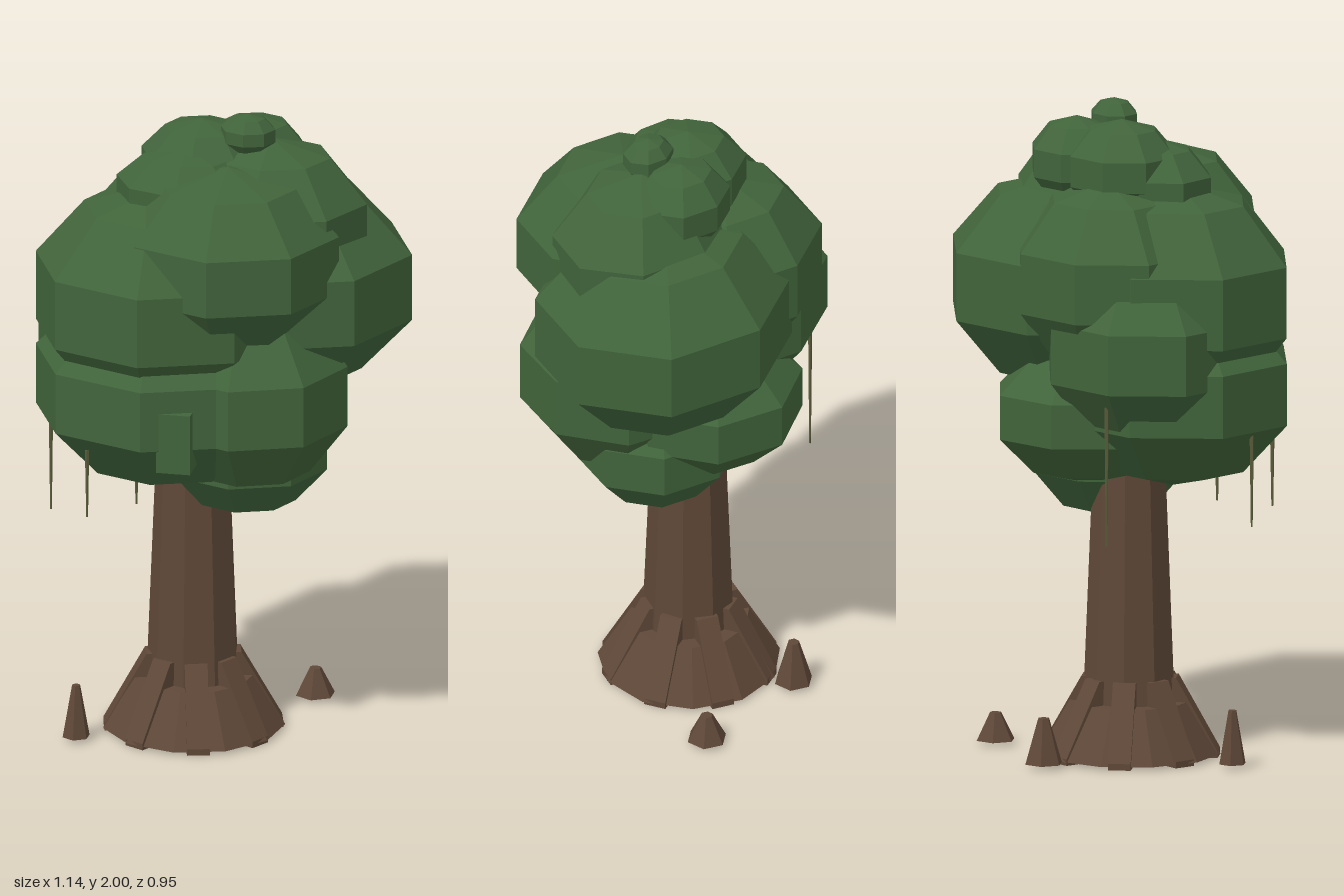
import * as THREE from 'three';

export function createModel() {
  const tree = new THREE.Group();
  tree.name = 'tree';
  const mat = (name, color) => {
    const m = new THREE.MeshStandardMaterial({ color, flatShading: true });
    m.name = name;
    return m;
  };
  const leafGreen = mat('leaf green', 0x41643b);
  const barkBrown = mat('bark brown', 0x5f4838);
  const vineOlive = mat('vine olive', 0x5a5c3a);

  const add = (name, geometry, material, x, y, z, parent = tree) => {
    const mesh = new THREE.Mesh(geometry, material);
    mesh.name = name;
    mesh.position.set(x, y, z);
    parent.add(mesh);
    return mesh;
  };

  // Trunk with its flared foot
  const trunkX = -0.09, trunkZ = -0.005;
  add('trunk', new THREE.CylinderGeometry(0.105, 0.145, 1.0, 9), barkBrown, trunkX, 0.6, trunkZ);
  add('trunkFlare', new THREE.CylinderGeometry(0.185, 0.28, 0.16, 11), barkBrown, trunkX, 0.09, trunkZ);

  // Root ridges: wedges that follow the flare and rise above its rim
  const wedge = new THREE.Shape();
  wedge.moveTo(0.1, 0);
  wedge.lineTo(0.272, 0);
  wedge.lineTo(0.272, 0.02);
  wedge.lineTo(0.145, 0.245);
  wedge.lineTo(0.1, 0.245);
  const rootGeometry = new THREE.ExtrudeGeometry(wedge, { depth: 0.07, bevelEnabled: false });
  rootGeometry.translate(0, 0, -0.035);
  for (let i = 0; i < 8; i++) {
    const root = add('root', rootGeometry, barkBrown, trunkX, 0, trunkZ);
    root.rotation.y = (i + 0.35) * Math.PI / 4;
  }

  // Root tips poking out of the ground: x, z, height, radius
  const tips = [
    [-0.41, 0.2, 0.165, 0.043],
    [0.22, -0.32, 0.085, 0.062],
    [-0.19, -0.33, 0.14, 0.06],
  ];
  for (const [x, z, h, r] of tips) {
    add('rootTip', new THREE.CylinderGeometry(r * 0.3, r, h, 6), barkBrown, x, 0.012 + h / 2, z);
  }

  // Crown: faceted ellipsoids, centre x, y, z then radii of the widest ring in x, z and half height
  const crown = new THREE.Group();
  crown.name = 'crown';
  tree.add(crown);
  const puffs = [
    [0.155, 1.435, -0.1, 0.415, 0.375, 0.34],
    [-0.16, 1.43, 0.11, 0.395, 0.362, 0.355],
    [0.05, 1.58, 0.14, 0.345, 0.312, 0.29],
    [0.15, 1.64, -0.01, 0.3, 0.25, 0.28],
    [-0.14, 1.49, -0.095, 0.32, 0.29, 0.3],
    [-0.15, 1.145, 0.11, 0.405, 0.365, 0.31],
    [0.11, 1.145, 0.11, 0.305, 0.3, 0.31],
    [-0.235, 1.285, -0.02, 0.34, 0.304, 0.3],
    [-0.035, 1.06, -0.12, 0.29, 0.29, 0.22],
    [0.07, 0.925, -0.01, 0.255, 0.24, 0.215],
    [-0.09, 1.75, 0.08, 0.22, 0.165, 0.15],
    [-0.065, 1.81, -0.02, 0.19, 0.17, 0.152],
    [0.08, 1.815, -0.11, 0.16, 0.14, 0.14],
    [0.085, 1.935, 0.015, 0.085, 0.07, 0.065],
  ];
  const ball = new THREE.SphereGeometry(1, 8, 5);
  const ringRadius = Math.sin(Math.PI * 0.4);
  for (const [x, y, z, rx, rz, ry] of puffs) {
    add('leafPuff', ball, leafGreen, x, y, z, crown).scale.set(rx / ringRadius, ry, rz / ringRadius);
  }
  add('leafBlock', new THREE.BoxGeometry(0.105, 0.19, 0.14), leafGreen, -0.052, 1.075, 0.385, crown);

  // Hanging vines: x, z, top, bottom
  const vines = [
    [-0.48, 0.235, 1.06, 0.755],
    [-0.34, 0.36, 1.0, 0.785],
    [-0.415, -0.215, 1.16, 0.715],
    [-0.215, 0.23, 0.92, 0.79],
  ];
  for (const [x, z, top, bottom] of vines) {
    add('vine', new THREE.CylinderGeometry(0.007, 0.003, top - bottom, 5), vineOlive, x, (top + bottom) / 2, z);
  }
  return tree;
}
